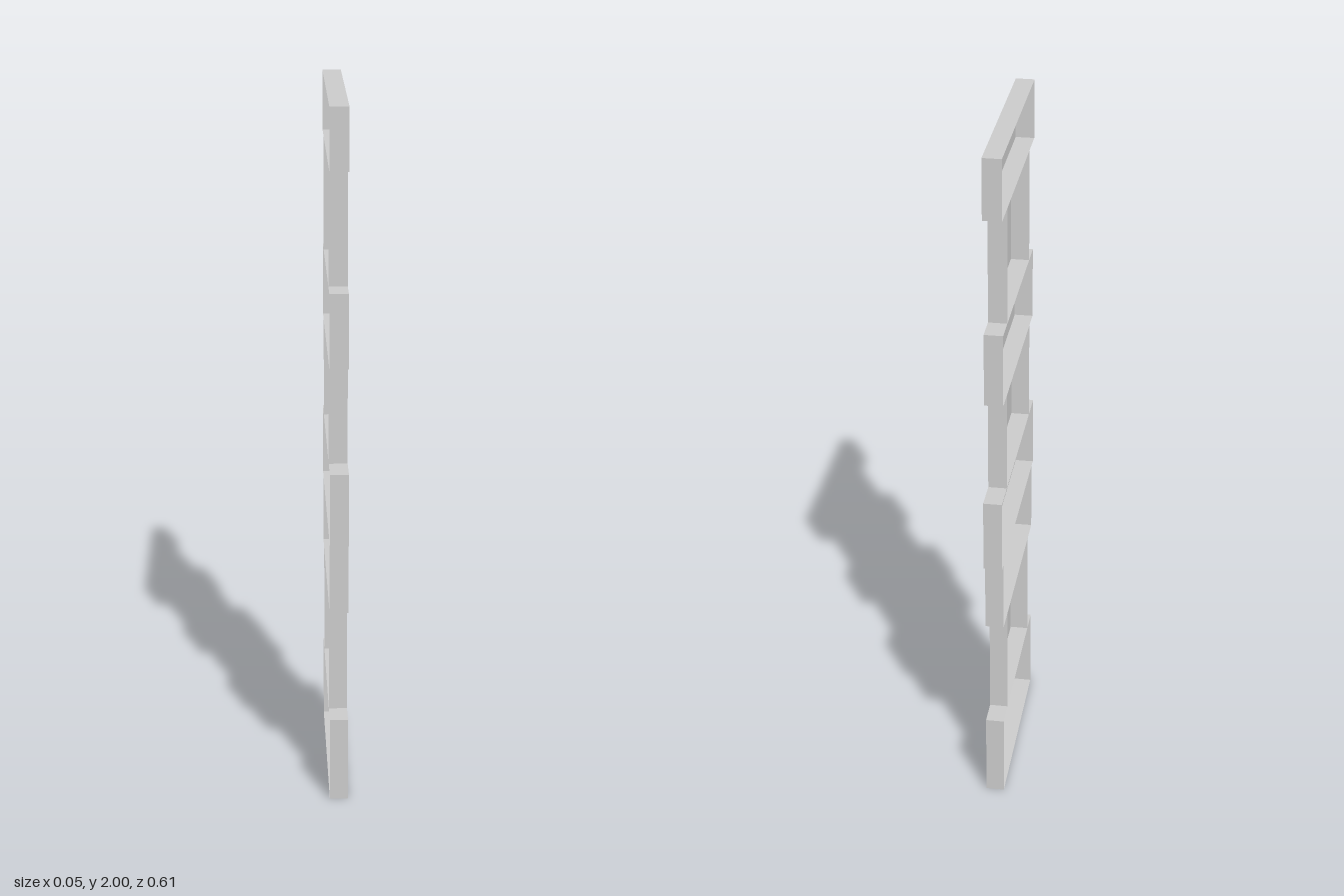
import * as THREE from 'three';

const DEPTH = 0.052;

// Stacked sections from the ground up: [bottom, top, half width]
const SECTIONS = [
  [0, 0.25, 0.28],
  [0.25, 0.58, 0.205],
  [0.58, 0.79, 0.28],
  [0.79, 1.0, 0.306],
  [1.0, 1.29, 0.216],
  [1.29, 1.5, 0.28],
  [1.5, 1.83, 0.205],
  [1.83, 2.0, 0.295],
];

export function createModel() {
  const group = new THREE.Group();
  group.name = 'steppedPanel';
  const material = new THREE.MeshStandardMaterial({
    color: 0xcccccc, flatShading: true, side: THREE.DoubleSide,
  });

  const addSheet = (name, geometry, x, y, z) => {
    const mesh = new THREE.Mesh(geometry, material);
    mesh.name = name;
    mesh.position.set(x, y, z);
    group.add(mesh);
  };

  // Closed face on +x and the two edge walls; the -x side stays open
  for (const [bottom, top, half] of SECTIONS) {
    const height = top - bottom;
    const y = (bottom + top) / 2;
    addSheet('facePanel', new THREE.PlaneGeometry(2 * half, height).rotateY(Math.PI / 2), DEPTH / 2, y, 0);
    addSheet('frontEdgeWall', new THREE.PlaneGeometry(DEPTH, height), 0, y, half);
    addSheet('backEdgeWall', new THREE.PlaneGeometry(DEPTH, height).rotateY(Math.PI), 0, y, -half);
  }

  // Full-width shelves at each level, as wide as the wider neighbour and facing out of it
  for (let i = 0; i <= SECTIONS.length; i++) {
    const below = i > 0 ? SECTIONS[i - 1][2] : 0;
    const above = i < SECTIONS.length ? SECTIONS[i][2] : 0;
    const y = i > 0 ? SECTIONS[i - 1][1] : 0;
    const tilt = below > above ? -Math.PI / 2 : Math.PI / 2;
    const half = Math.max(below, above);
    addSheet('shelf', new THREE.PlaneGeometry(DEPTH, 2 * half).rotateX(tilt), 0, y, 0);
  }

  return group;
}
